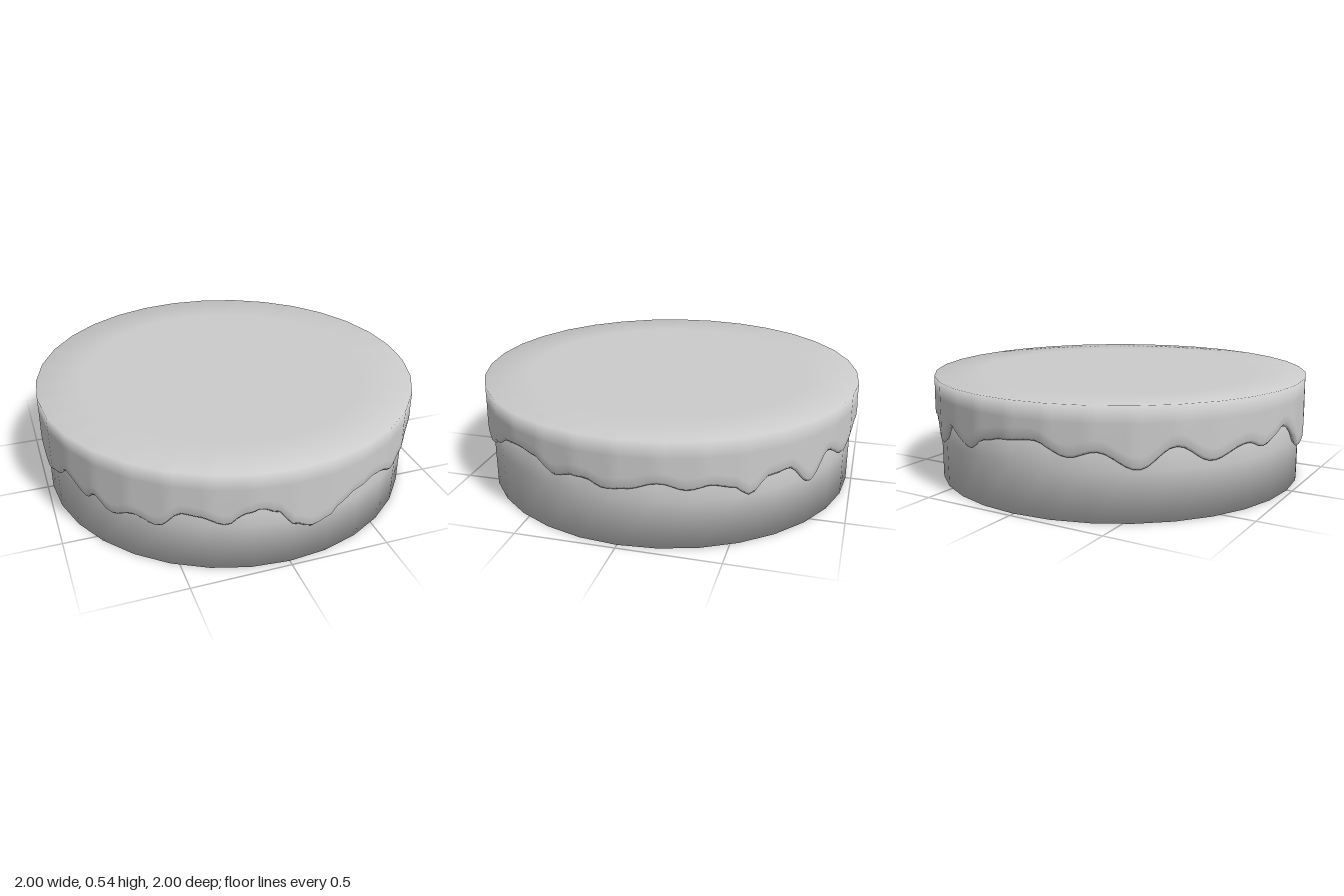
import * as THREE from 'three';

const SIDES = 32, STEPS = 192;

// Height of the icing's lower edge: [angle in degrees from +z towards +x, y]
const DRIPS = [
  [0, 0.23], [6, 0.19], [10, 0.21], [14.5, 0.26], [20, 0.3], [27, 0.32], [32, 0.31], [38, 0.265],
  [44, 0.31], [51, 0.36], [57, 0.375], [65, 0.36], [72, 0.3], [77, 0.325], [81, 0.325], [87, 0.29],
  [93, 0.3], [101.5, 0.335], [109, 0.3], [115, 0.32], [121, 0.3], [126, 0.25], [132, 0.325],
  [138, 0.335], [146, 0.23], [154, 0.34], [164, 0.27], [171, 0.33], [177, 0.35], [187, 0.365],
  [197, 0.3], [204, 0.33], [215, 0.25], [225, 0.35], [235, 0.27], [247, 0.325], [253, 0.29],
  [263, 0.355], [277, 0.205], [284, 0.24], [291, 0.31], [300, 0.24], [303, 0.28], [309, 0.215],
  [316, 0.255], [323, 0.22], [330, 0.31], [335, 0.3], [342, 0.26], [347, 0.32], [351, 0.34],
  [356, 0.31], [360, 0.23],
];

function dripHeight(deg) {
  const i = DRIPS.findIndex((d) => d[0] > deg);
  const [a0, y0] = DRIPS[i - 1], [a1, y1] = DRIPS[i];
  const t = (deg - a0) / (a1 - a0);
  return y0 + (y1 - y0) * (1 - Math.cos(Math.PI * t)) / 2;
}

// Smooth surface swept round the y axis; profile(deg) gives [radius, y] points
// whose outline runs upwards on the outside. The plan is a regular polygon.
function sweep(name, steps, profile) {
  const pos = [], index = [];
  const rows = profile(0).length;
  for (let s = 0; s < steps; s++) {
    const deg = (s / steps) * 360, a = THREE.MathUtils.degToRad(deg);
    const side = (2 * Math.PI) / SIDES;
    const flat = Math.cos(side / 2) / Math.cos((a % side) - side / 2);
    for (const [r, y] of profile(deg)) pos.push(Math.sin(a) * r * flat, y, Math.cos(a) * r * flat);
    const p = s * rows, q = ((s + 1) % steps) * rows;
    for (let k = 0; k < rows - 1; k++) {
      index.push(p + k, q + k, q + k + 1, p + k, q + k + 1, p + k + 1);
    }
  }
  const g = new THREE.BufferGeometry();
  g.setAttribute('position', new THREE.Float32BufferAttribute(pos, 3));
  g.setIndex(index);
  g.computeVertexNormals();
  const mesh = new THREE.Mesh(g, new THREE.MeshStandardMaterial({ color: 0xcccccc, side: THREE.DoubleSide }));
  mesh.name = name;
  return mesh;
}

export function createModel() {
  const group = new THREE.Group();
  group.name = 'cake';

  // Round sponge with a softly shaded bottom rim
  group.add(sweep('sponge', SIDES, () => [
    [0.001, 0], [0.55, 0], [0.972, 0], [0.972, 0.24], [0.972, 0.5], [0.001, 0.5],
  ]));

  // Icing shell: inner lip, rounded dripping edge, wall and flat top
  group.add(sweep('icing', STEPS, (deg) => {
    const b = dripHeight(deg);
    return [
      [0.966, b + 0.02], [0.985, b], [0.998, b + 0.015], [0.999, b + 0.06],
      [0.997, 0.46], [0.997, 0.542], [0.75, 0.542], [0.001, 0.542],
    ];
  }));
  return group;
}
